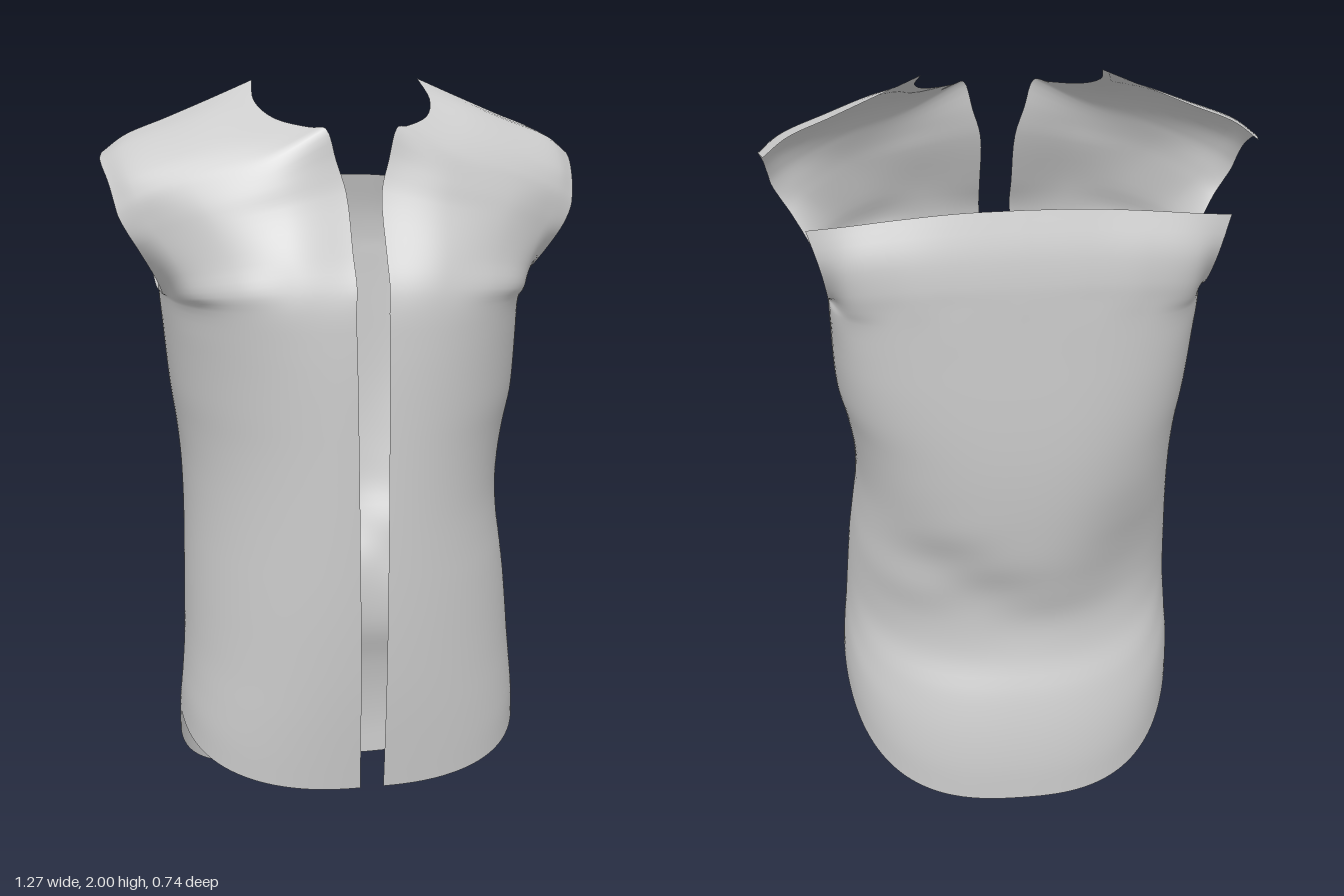
import * as THREE from 'three';

const material = new THREE.MeshStandardMaterial({ color: 0xcccccc, side: THREE.DoubleSide });
const ARM = 1.44; // height of the armhole bottom

// Smooth lookup in a table of [height, value] pairs
function lookup(table, y) {
  const n = table.length - 1;
  if (y <= table[0][0]) return table[0][1];
  if (y >= table[n][0]) return table[n][1];
  let i = 0;
  while (y > table[i + 1][0]) i++;
  const slope = (k) => {
    const a = table[Math.max(0, k - 1)], b = table[Math.min(n, k + 1)];
    return (b[1] - a[1]) / (b[0] - a[0]);
  };
  const [y0, v0] = table[i], [y1, v1] = table[i + 1], h = y1 - y0, t = (y - y0) / h;
  const t2 = t * t, t3 = t2 * t;
  return (2 * t3 - 3 * t2 + 1) * v0 + (t3 - 2 * t2 + t) * h * slope(i)
    + (3 * t2 - 2 * t3) * v1 + (t3 - t2) * h * slope(i + 1);
}

// Body profiles by height: half width, centre front, centre back, side seam, roundness
const widthLeft = [[0, 0.45], [0.3, 0.468], [0.5, 0.455], [0.7, 0.44], [0.9, 0.418], [1.05, 0.43], [1.2, 0.463], [ARM, 0.475]];
const widthRight = [[0, 0.44], [0.3, 0.455], [0.5, 0.442], [0.7, 0.436], [0.9, 0.43], [1.05, 0.434], [1.2, 0.452], [ARM, 0.47]];
const frontZ = [[0.16, 0.32], [0.35, 0.342], [0.5, 0.355], [0.7, 0.365], [1, 0.37], [1.3, 0.37], [ARM, 0.363]];
const backZ = [[0, -0.345], [0.15, -0.34], [0.3, -0.31], [0.45, -0.265], [0.55, -0.272], [0.7, -0.312], [0.9, -0.347], [1.1, -0.365], [ARM, -0.372]];
const seamZ = [[0.3, 0.02], [0.8, 0], [1.2, -0.04], [ARM, -0.09]];
const frontRoundness = [[0.16, 0.83], [0.45, 0.94], [0.8, 1], [1.1, 0.98], [1.28, 0.9], [ARM, 0.75]];
const backRoundness = [[0, 0.84], [0.25, 0.88], [0.5, 1], [0.9, 0.78], [1.2, 0.62], [ARM, 0.55]];

const halfWidth = (s, y) => lookup(s > 0 ? widthLeft : widthRight, y);

// Quarter of a rounded section: how far along x and z the cloth reaches at t
function quarter(t, e) {
  const a = t ** (1 / e) * Math.PI / 2;
  return [Math.sin(a) ** e, Math.max(0, Math.cos(a)) ** e];
}

// Lower front: t = 0 at the opening, 1 at the side seam; v = 0 at the hem, 1 at the armhole
function frontPoint(s, t, v) {
  const hem = 0.165 + 0.145 * t ** 2.2, y = hem + (ARM - hem) * v;
  const open = s > 0 ? 0.038 : 0.025 + 0.022 * v;
  const [qx, qz] = quarter(t, lookup(frontRoundness, y)), zs = lookup(seamZ, y);
  const x = open + (halfWidth(s, y) - open) * qx;
  const z = zs + (lookup(frontZ, y) - zs) * qz;
  return new THREE.Vector3(s * x, y, z);
}

// Lower back: t = 0 at the spine, 1 at the side seam
function backPoint(s, t, v) {
  const hem = 0.003 + 0.307 * t ** 3, y = hem + (ARM - hem) * v;
  const [qx, qz] = quarter(t, lookup(backRoundness, y)), zs = lookup(seamZ, y);
  const x = s * halfWidth(s, y) * qx;
  let z = zs + (lookup(backZ, y) - zs) * qz;
  // long diagonal fold from the left waist towards the spine, and a soft dent on the right
  const across = (y - 0.7) * 0.84 - (x - 0.2) * 0.54;
  const along = (x - 0.2) * 0.84 + (y - 0.7) * 0.54;
  const fold = 0.022 * Math.exp(-((across / 0.08) ** 2) - (along / 0.25) ** 2);
  const dent = 0.035 * Math.exp(-(((x + 0.32) / 0.14) ** 2) - ((y - 0.68) / 0.2) ** 2);
  z += (fold + dent) * (1 - t ** 4);
  return new THREE.Vector3(x, y, z);
}

// Upper rows, each from the centre edge to the armhole edge
const frontRows = [
  [[0.042, 1.5, 0.35], [0.19, 1.497, 0.345], [0.333, 1.485, 0.303], [0.44, 1.47, 0.2], [0.478, 1.45, -0.03]],
  [[0.043, 1.58, 0.31], [0.2, 1.575, 0.317], [0.345, 1.555, 0.272], [0.457, 1.528, 0.185], [0.505, 1.5, 0.05]],
  [[0.046, 1.73, 0.245], [0.21, 1.695, 0.263], [0.375, 1.657, 0.23], [0.505, 1.615, 0.147], [0.56, 1.59, 0.098]],
  [[0.068, 1.81, 0.227], [0.23, 1.75, 0.244], [0.4, 1.702, 0.204], [0.532, 1.655, 0.13], [0.585, 1.63, 0.1]],
  [[0.092, 1.89, 0.215], [0.25, 1.805, 0.217], [0.42, 1.745, 0.175], [0.55, 1.7, 0.118], [0.605, 1.67, 0.09]],
  [[0.125, 1.892, 0.185], [0.27, 1.83, 0.188], [0.43, 1.773, 0.155], [0.56, 1.725, 0.106], [0.612, 1.7, 0.077]],
  [[0.2, 1.91, 0.1], [0.32, 1.87, 0.115], [0.45, 1.82, 0.105], [0.575, 1.77, 0.073], [0.622, 1.75, 0.04]],
  [[0.235, 1.95, 0], [0.34, 1.925, 0.01], [0.46, 1.88, 0.01], [0.58, 1.835, -0.01], [0.633, 1.8, -0.04]],
  [[0.225, 2, -0.09], [0.33, 1.955, -0.095], [0.45, 1.905, -0.105], [0.56, 1.86, -0.115], [0.62, 1.815, -0.125]],
];
const backRows = [
  [[0, 1.5, -0.373], [0.152, 1.498, -0.371], [0.3, 1.49, -0.36], [0.425, 1.472, -0.312], [0.476, 1.45, -0.16]],
  [[0, 1.55, -0.372], [0.152, 1.548, -0.371], [0.302, 1.54, -0.363], [0.428, 1.522, -0.328], [0.478, 1.49, -0.24]],
  [[0, 1.63, -0.362], [0.153, 1.628, -0.361], [0.307, 1.62, -0.355], [0.432, 1.603, -0.335], [0.495, 1.585, -0.295]],
  [[0, 1.73, -0.335], [0.15, 1.727, -0.333], [0.3, 1.713, -0.323], [0.43, 1.695, -0.307], [0.525, 1.68, -0.285]],
];

// Column of cloth: lower body points continued through the upper rows
function column(lower, rows, s, t) {
  const points = [];
  for (let i = 0; i <= 14; i++) points.push(lower(s, t, i / 14));
  for (const row of rows) {
    const curve = new THREE.CatmullRomCurve3(row.map(([x, y, z]) => new THREE.Vector3(s * x, y, z)));
    points.push(curve.getPoint(t));
  }
  return new THREE.CatmullRomCurve3(points).getPoints((points.length - 1) * 4);
}

// Join columns into one smooth sheet
function sheet(name, columns) {
  const rows = columns[0].length, index = [];
  for (let c = 0; c < columns.length - 1; c++) {
    for (let r = 0; r < rows - 1; r++) {
      const a = c * rows + r, b = a + rows;
      index.push(a, b, b + 1, a, b + 1, a + 1);
    }
  }
  const geometry = new THREE.BufferGeometry().setFromPoints(columns.flat());
  geometry.setIndex(index);
  geometry.computeVertexNormals();
  const mesh = new THREE.Mesh(geometry, material);
  mesh.name = name;
  return mesh;
}

export function createModel() {
  const group = new THREE.Group();
  group.name = 'sleevelessShirt';
  const N = 48;

  // Two front panels reaching over the shoulders
  for (const s of [1, -1]) {
    const columns = [];
    for (let i = 0; i <= N; i++) columns.push(column(frontPoint, frontRows, s, i / N));
    if (s < 0) columns.reverse();
    group.add(sheet(s > 0 ? 'leftFrontPanel' : 'rightFrontPanel', columns));
  }

  // One back panel from the left seam to the right seam
  const columns = [];
  for (let i = N; i >= -N; i--) columns.push(column(backPoint, backRows, i < 0 ? -1 : 1, Math.abs(i) / N));
  group.add(sheet('backPanel', columns));

  return group;
}
